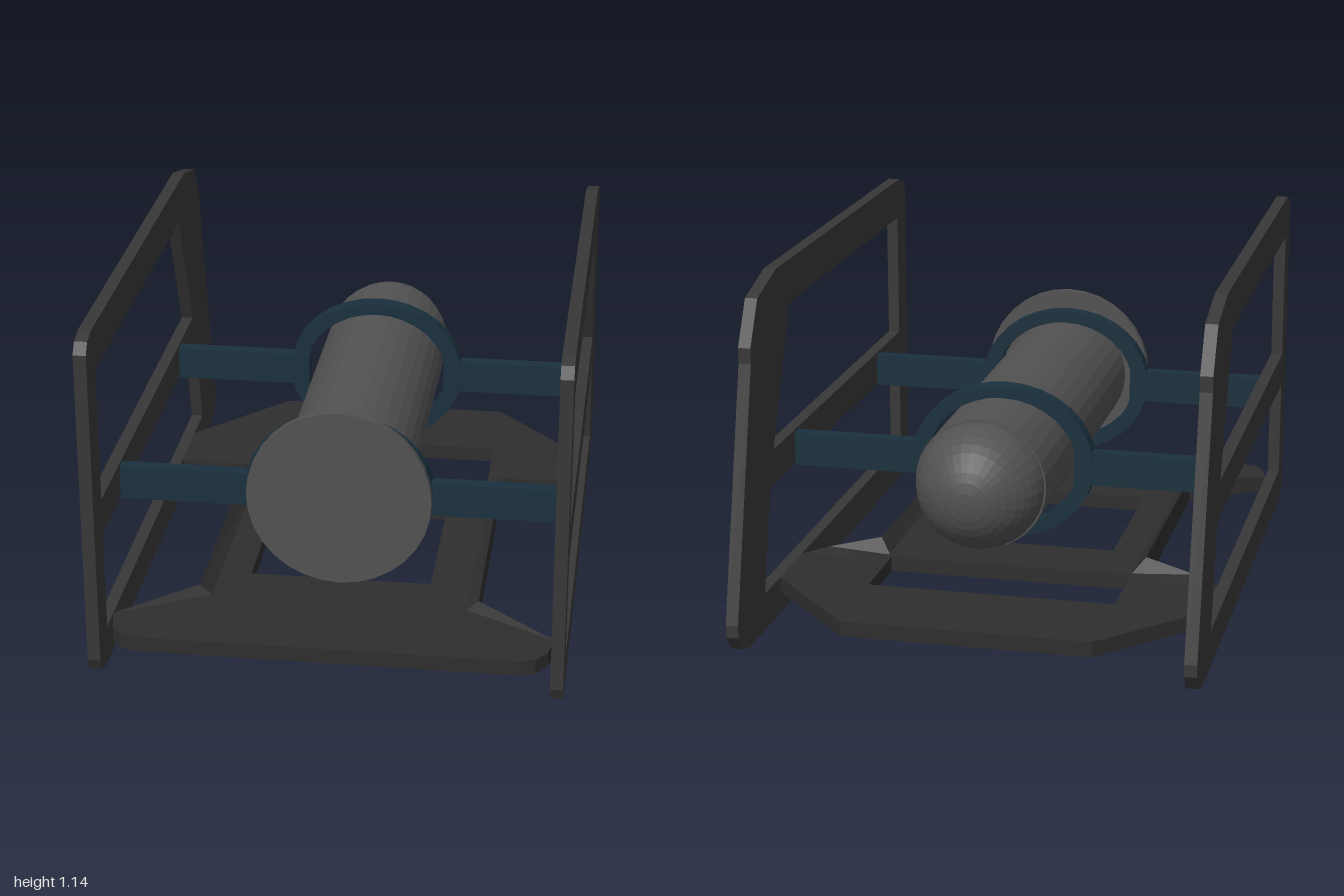
import * as THREE from 'three';

const frameMat = new THREE.MeshStandardMaterial({ color: 0x383838, flatShading: true });
const trayMat = new THREE.MeshStandardMaterial({ color: 0x2e2e2e, flatShading: true, side: THREE.DoubleSide });
const tankMat = new THREE.MeshStandardMaterial({ color: 0x525252, flatShading: true });
const clampMat = new THREE.MeshStandardMaterial({ color: 0x1a303d, flatShading: true });

const pts = (list) => list.map(([a, b]) => new THREE.Vector2(a, b));

// Flat plate with holes
function plate(outline, holes, depth) {
  const shape = new THREE.Shape(pts(outline));
  shape.holes = holes.map((h) => new THREE.Path(pts(h)));
  return new THREE.ExtrudeGeometry(shape, { depth, bevelEnabled: false, curveSegments: 20 });
}

function add(parent, name, geometry, material, x = 0, y = 0, z = 0) {
  const mesh = new THREE.Mesh(geometry, material);
  mesh.name = name;
  mesh.position.set(x, y, z);
  parent.add(mesh);
  return mesh;
}

export function createModel() {
  const model = new THREE.Group();
  model.name = 'framedVehicle';

  // Side frames, outline given as (z, y)
  const sideGeo = plate(
    [[1, 0.06], [1, 1.09], [0.975, 1.125], [0.92, 1.14], [-0.53, 1.14], [-0.72, 1.09], [-0.8, 0.95],
      [-0.8, 0.9], [-1, 0.11], [-1, 0.07], [-0.96, 0.018], [-0.89, 0], [0.92, 0], [0.98, 0.018]],
    [[[0.89, 1], [-0.41, 1], [-0.605, 0.565], [0.89, 0.565]],
      [[0.89, 0.45], [-0.65, 0.45], [-0.735, 0.12], [0.89, 0.12]]],
    0.04
  ).rotateY(-Math.PI / 2);
  add(model, 'leftSideFrame', sideGeo, frameMat, 0.74);
  add(model, 'rightSideFrame', sideGeo, frameMat, -0.7);

  // Floor tray, outline given as (x, z)
  const half = [[0.6, 0.945], [0.65, 0.93], [0.685, 0.88], [0.7, 0.8], [0.45, 0.64], [0.45, -0.25],
    [0.62, -0.29], [0.7, -0.35], [0.7, -0.58], [0.4, -0.91]];
  const mirrored = half.map(([x, z]) => [-x, z]).reverse();
  const trayGeo = plate(
    [...half, ...mirrored],
    [[[-0.41, -0.58], [0.4, -0.58], [0.4, -0.31], [-0.41, -0.31]],
      [[-0.31, -0.09], [0.28, -0.09], [0.28, 0.48], [-0.31, 0.48]]],
    0.05
  ).rotateX(Math.PI / 2);
  add(model, 'floorTray', trayGeo, trayMat, 0, 0.12, 0);

  // Raised lips on both edges of the tray: [z, outer x, top y]
  const stations = [[0.8, 0.7, 0.12], [0.64, 0.45, 0.155], [-0.25, 0.45, 0.165], [-0.29, 0.62, 0.132], [-0.35, 0.7, 0.12]];
  for (const side of [1, -1]) {
    const verts = [];
    const index = [];
    stations.forEach(([z, x, y], i) => {
      verts.push(side * 0.41, 0.119, z, side * x, y, z, side * x, 0.119, z);
      if (i === 0) return;
      for (let k = 0; k < 2; k++) {
        const a = (i - 1) * 3 + k, b = a + 1, c = a + 3, d = a + 4;
        if (side > 0) index.push(a, b, c, b, d, c);
        else index.push(a, c, b, b, c, d);
      }
    });
    const lip = new THREE.BufferGeometry();
    lip.setAttribute('position', new THREE.Float32BufferAttribute(verts, 3));
    lip.setIndex(index);
    lip.computeVertexNormals();
    add(model, side > 0 ? 'leftTrayLip' : 'rightTrayLip', lip, trayMat);
  }

  // Tank: cylinder body, domed rear and flat front disc
  const tank = new THREE.Group();
  tank.name = 'tank';
  tank.position.set(0.01, 0.51, 0);
  model.add(tank);
  add(tank, 'tankBody', new THREE.CylinderGeometry(0.21, 0.21, 1.33, 32).rotateX(Math.PI / 2), tankMat, 0, 0, 0.02);
  const dome = new THREE.SphereGeometry(0.205, 32, 10, 0, Math.PI * 2, 0, Math.PI / 2).rotateX(-Math.PI / 2);
  add(tank, 'tankDome', dome, tankMat, 0, 0, -0.635);
  add(tank, 'frontDisc', new THREE.CylinderGeometry(0.292, 0.292, 0.025, 32).rotateX(Math.PI / 2), tankMat, 0, 0.01, 0.695);

  // Oval clamps with arms reaching the side frames
  const ring = new THREE.Shape().absellipse(0, 0, 0.3, 0.255, 0, Math.PI * 2);
  ring.holes.push(new THREE.Path().absellipse(0, 0, 0.245, 0.215, 0, Math.PI * 2, true));
  const ringGeo = new THREE.ExtrudeGeometry(ring, { depth: 0.055, bevelEnabled: false, curveSegments: 16 }).translate(0, 0, -0.0275);
  const armGeo = new THREE.BoxGeometry(0.47, 0.11, 0.045);
  for (const [name, z] of [['frontClamp', 0.61], ['rearClamp', -0.365]]) {
    const clamp = new THREE.Group();
    clamp.name = name;
    clamp.position.set(0, 0.505, z);
    model.add(clamp);
    add(clamp, 'clampRing', ringGeo, clampMat);
    for (const side of [1, -1]) add(clamp, side > 0 ? 'leftArm' : 'rightArm', armGeo, clampMat, side * 0.47, -0.005, 0);
  }

  return model;
}
